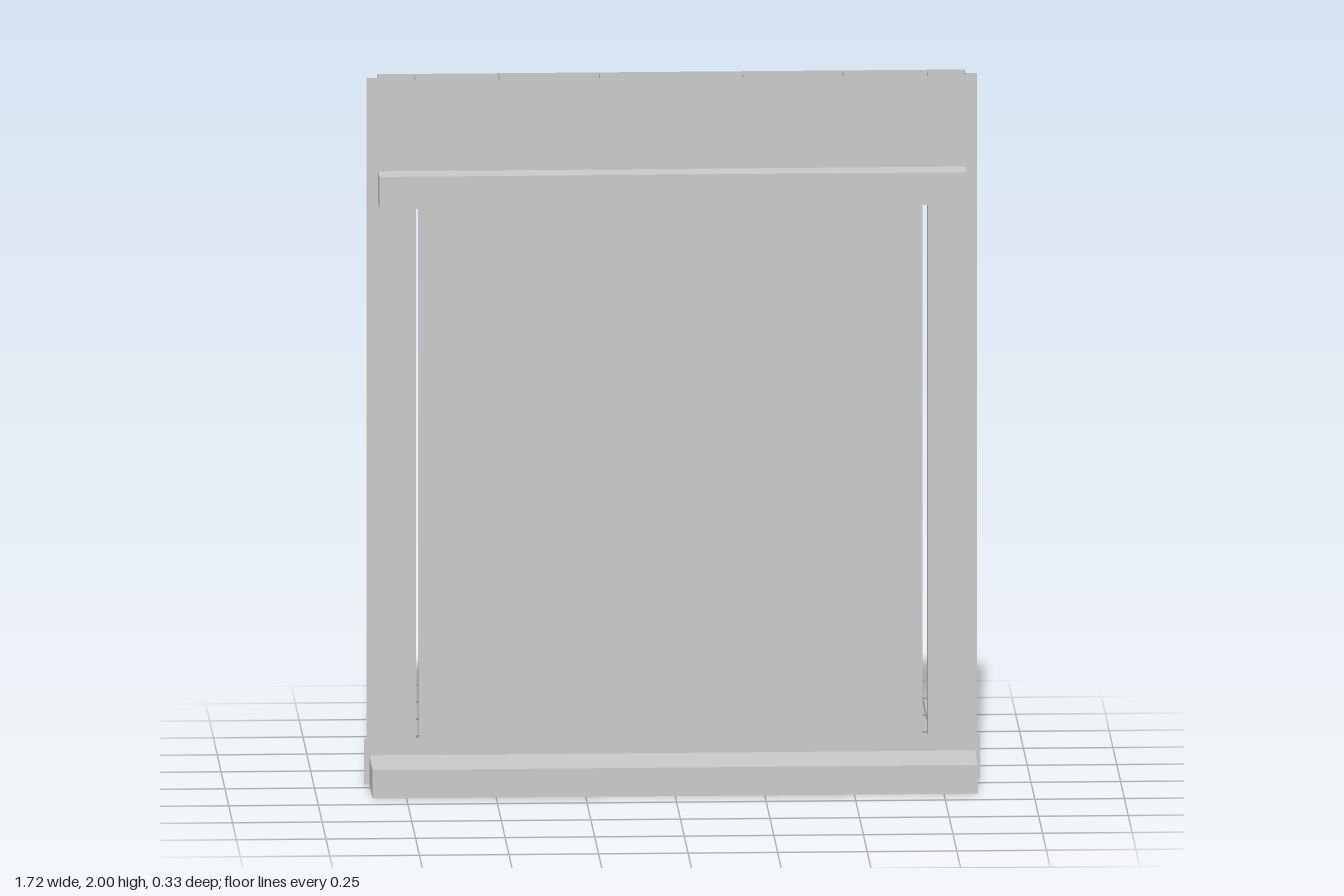
import * as THREE from 'three';

export function createModel() {
  const model = new THREE.Group();
  model.name = 'wallPanelWithOpening';
  const grey = new THREE.MeshStandardMaterial({ color: 0xc8c8c8, side: THREE.DoubleSide });
  grey.name = 'light grey';

  const FRONT = -0.053, BACK = -0.135;     // the two wall skins
  const HALF = 0.82, OPEN = 0.715;         // half widths of wall and opening
  const HEAD = 1.69;                       // top of the opening

  const add = (name, geometry) => {
    const mesh = new THREE.Mesh(geometry, grey);
    mesh.name = name;
    model.add(mesh);
    return mesh;
  };
  // Solid block from its limits on each axis
  const block = (name, x0, x1, y0, y1, z0, z1) => {
    const mesh = add(name, new THREE.BoxGeometry(x1 - x0, y1 - y0, z1 - z0));
    mesh.position.set((x0 + x1) / 2, (y0 + y1) / 2, (z0 + z1) / 2);
  };
  // Thin upright sheet spanning the cavity at a given x
  const rib = (name, x, y0, y1) => {
    const mesh = add(name, new THREE.PlaneGeometry(FRONT - BACK, y1 - y0));
    mesh.rotation.y = Math.PI / 2;
    mesh.position.set(x, (y0 + y1) / 2, (FRONT + BACK) / 2);
  };
  // Thin level sheet closing the cavity at a given height
  const shelf = (name, y) => {
    const mesh = add(name, new THREE.PlaneGeometry(HALF * 2, FRONT - BACK));
    mesh.rotation.x = -Math.PI / 2;
    mesh.position.set(0, y, (FRONT + BACK) / 2);
  };
  // Thin sheet facing the front
  const sheet = (name, x0, x1, y0, y1, z) => {
    const mesh = add(name, new THREE.PlaneGeometry(x1 - x0, y1 - y0));
    mesh.position.set((x0 + x1) / 2, (y0 + y1) / 2, z);
  };

  // Front and back skins around a doorway that reaches the floor
  const skin = new THREE.Shape([
    [-HALF, 0], [-OPEN, 0], [-OPEN, HEAD], [OPEN, HEAD],
    [OPEN, 0], [HALF, 0], [HALF, 2], [-HALF, 2],
  ].map(([x, y]) => new THREE.Vector2(x, y)));
  add('frontSkin', new THREE.ShapeGeometry(skin)).position.z = FRONT;
  add('backSkin', new THREE.ShapeGeometry(skin).rotateY(Math.PI)).position.z = BACK;

  // Cavity: ends, jambs, short ribs over the opening, and edge tongues
  for (const s of [-1, 1]) {
    rib('endPlate', s * HALF, 0, 2);
    rib('jamb', s * OPEN, 0, 2);
    for (const x of [0.2, 0.48]) rib('headerRib', s * x, HEAD, 2);
    const [a, b] = s < 0 ? [-0.852, -HALF] : [HALF, 0.852];
    sheet('edgeTongue', a, b, 0, 2, -0.08);
  }
  shelf('headSoffit', HEAD);
  shelf('basePlate', 0);

  // Base strip on the front skin, reaching just past both ends
  sheet('baseStrip', -0.86, 0.86, 0, 0.128, -0.05);

  // Solid parts; the lintel is set into the cavity
  block('lintel', -HALF, HALF, 1.648, 1.74, -0.1, 0.03);
  block('sill', -0.845, 0.845, 0.001, 0.082, -0.1, 0.166);
  block('doorPanel', -0.703, 0.703, 0, 1.64, -0.166, -0.136);

  return model;
}
